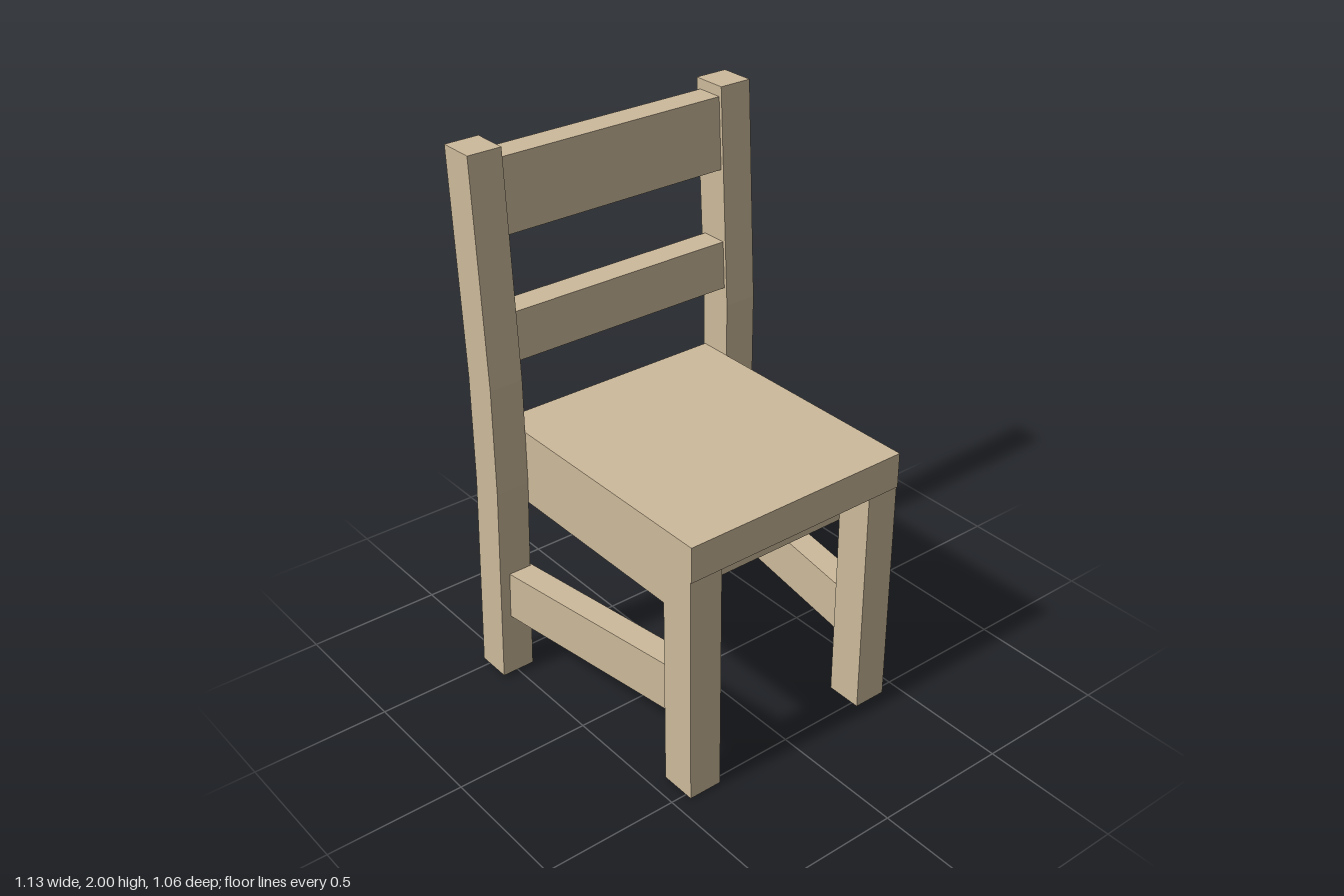
import * as THREE from 'three';

const wood = new THREE.MeshStandardMaterial({ color: 0xcdba9b });
wood.name = 'pale wood';

const toShape = (points) => new THREE.Shape(points.map(([a, b]) => new THREE.Vector2(a, b)));

// Side outline of [z, y] points, extruded across from x0 to x1
function sideProfile(points, x0, x1) {
  const geometry = new THREE.ExtrudeGeometry(toShape(points), { depth: x1 - x0, bevelEnabled: false });
  return geometry.rotateY(-Math.PI / 2).translate(x1, 0, 0);
}

// Plan outline of [x, z] points, extruded up from y0 to y1
function planProfile(points, y0, y1) {
  const flipped = points.map(([x, z]) => [x, -z]);
  const geometry = new THREE.ExtrudeGeometry(toShape(flipped), { depth: y1 - y0, bevelEnabled: false });
  return geometry.rotateX(-Math.PI / 2).translate(0, y0, 0);
}

function box(x0, x1, y0, y1, z0, z1) {
  return new THREE.BoxGeometry(x1 - x0, y1 - y0, z1 - z0)
    .translate((x0 + x1) / 2, (y0 + y1) / 2, (z0 + z1) / 2);
}

export function createModel() {
  const chair = new THREE.Group();
  chair.name = 'chair';
  const add = (name, geometry) => {
    const mesh = new THREE.Mesh(geometry, wood);
    mesh.name = name;
    chair.add(mesh);
  };

  // Seat slab and the solid block beneath it
  add('seat', box(-0.44, 0.44, 0.87, 1.0, -0.48, 0.53));
  add('seatBlock', box(-0.44, 0.44, 0.72, 0.87, -0.48, 0.39));

  // Backrest rails, leaning with the posts
  const lean = (y) => -0.37 - 0.053 * (y - 1.2);
  for (const [name, y0, y1] of [['topRail', 1.705, 1.963], ['middleRail', 1.265, 1.44]]) {
    const a = lean(y0), b = lean(y1);
    add(name, sideProfile([[a, y0], [a - 0.1, y0], [b - 0.1, y1], [b, y1]], -0.44, 0.44));
  }

  // Bent back post outline
  const post = [
    [-0.395, 0.01], [-0.358, 0.8], [-0.358, 1.2], [-0.4, 2],
    [-0.53, 2], [-0.487, 1.2], [-0.487, 0.8], [-0.527, 0.01],
  ];

  for (const [side, s] of [['left', 1], ['right', -1]]) {
    const span = (a, b) => (s > 0 ? [a, b] : [-b, -a]);
    add(side + 'BackPost', sideProfile(post, ...span(0.44, 0.565)));
    add(side + 'FrontLeg', box(...span(0.315, 0.44), 0, 0.87, 0.39, 0.525));
    // Stretcher splays outward from front leg to back post
    add(side + 'Stretcher', planProfile(
      [[0.413, 0.4], [0.53, -0.4], [0.435, -0.4], [0.318, 0.4]].map(([x, z]) => [s * x, z]),
      0.265, 0.45));
  }
  return chair;
}
